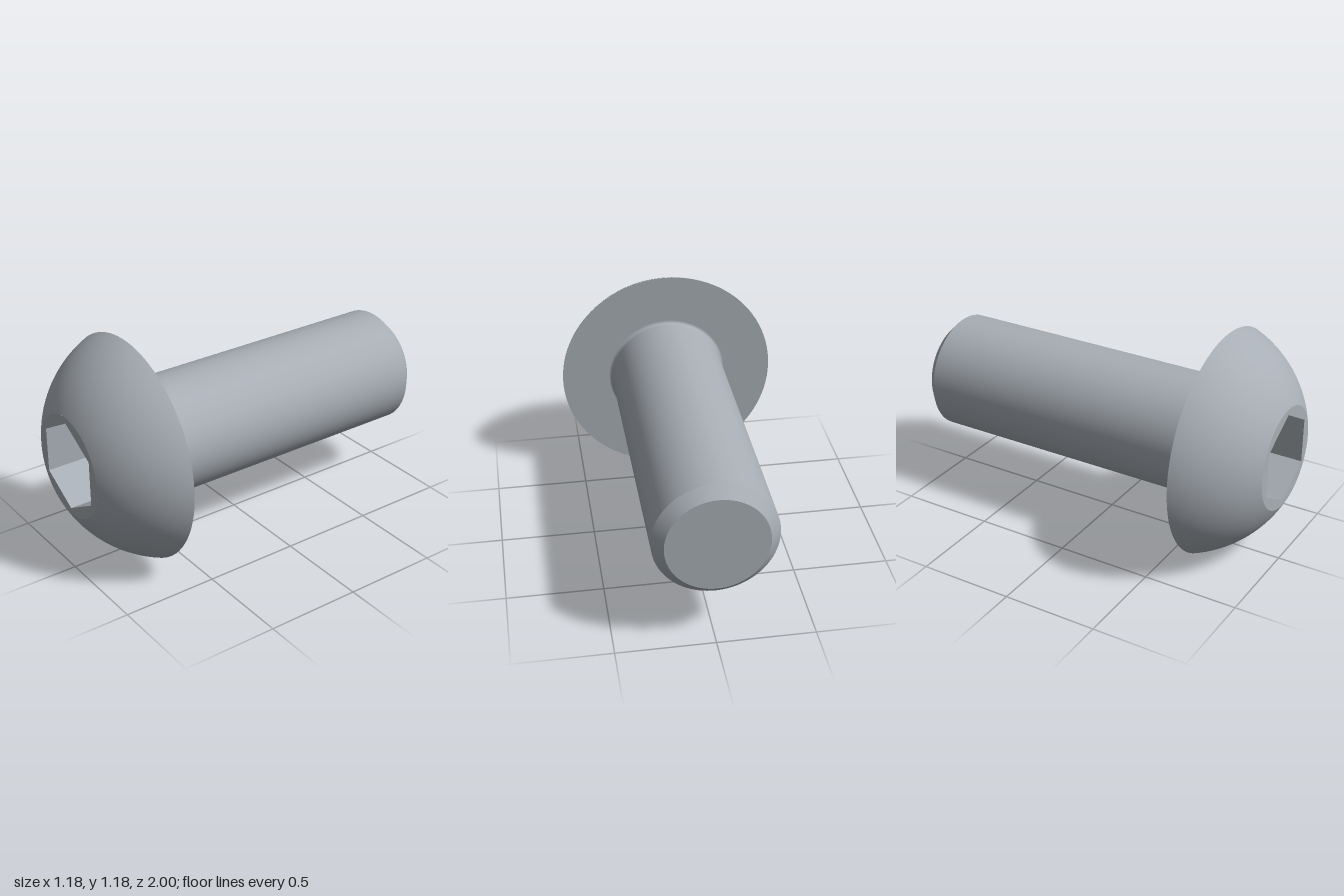
import * as THREE from 'three';

const SEG = 96;
const HEX_R = 0.239, SOCKET_FLOOR = 0.785, DRILL_R = 0.206;

export function createModel() {
  const steel = new THREE.MeshStandardMaterial({ color: 0xa8aeb5 });
  steel.name = 'steel grey';

  // The screw axis runs along z at mid height
  const screw = new THREE.Group();
  screw.name = 'buttonHeadScrew';
  screw.position.y = 0.59;

  const add = (name, geometry) => {
    const mesh = new THREE.Mesh(geometry, steel);
    mesh.name = name;
    screw.add(mesh);
    return mesh;
  };
  // Profile of [radius, z] pairs turned about the z axis
  const turned = (name, profile) => add(name, new THREE.LatheGeometry(
    profile.map(([r, z]) => new THREE.Vector2(r, z)), SEG).rotateX(Math.PI / 2));
  // Points of an arc in the (radius, z) plane
  const arc = (cr, cz, r, a0, a1, n) => Array.from({ length: n + 1 }, (_, i) => {
    const a = a0 + (a1 - a0) * i / n;
    return [cr + r * Math.cos(a), cz + r * Math.sin(a)];
  });

  // Shank, each section separate so its edges stay sharp
  turned('shankEnd', [[0, -1], [0.255, -1]]);
  turned('endChamfer', [[0.255, -1], [0.31, -0.945]]);
  turned('shank', [[0.31, -0.945], [0.31, 0.64]]);
  turned('neckFillet', arc(0.328, 0.64, 0.018, Math.PI, Math.PI / 2, 8));

  // Domed head, a spherical zone centred on the axis
  const centreZ = 0.4255;
  turned('headUnderside', [[0.328, 0.658], [0.59, 0.658]]);
  turned('headDome', arc(0, centreZ, 0.6347,
    Math.atan2(0.658 - centreZ, 0.59), Math.atan2(1 - centreZ, 0.27), 32));

  // Flat front ring with a hexagonal opening
  const hexPoints = Array.from({ length: 6 }, (_, i) => {
    const a = Math.PI / 2 + i * Math.PI / 3;
    return new THREE.Vector2(HEX_R * Math.cos(a), HEX_R * Math.sin(a));
  });
  const face = new THREE.Shape().absarc(0, 0, 0.27, 0, Math.PI * 2, false);
  face.holes.push(new THREE.Path(hexPoints));
  add('headFace', new THREE.ShapeGeometry(face, SEG / 2)).position.z = 1;

  // Socket walls: open hexagonal prism turned inside out
  const depth = 1 - SOCKET_FLOOR;
  const walls = new THREE.CylinderGeometry(HEX_R, HEX_R, depth, 6, 1, true)
    .toNonIndexed().rotateX(Math.PI / 2).scale(-1, 1, 1);
  walls.computeVertexNormals();
  add('socketWalls', walls).position.z = 1 - depth / 2;

  // Socket floor corners around the conical drill point
  const floor = new THREE.Shape(hexPoints);
  floor.holes.push(new THREE.Path().absarc(0, 0, DRILL_R, 0, Math.PI * 2, true));
  add('socketFloor', new THREE.ShapeGeometry(floor, SEG / 2)).position.z = SOCKET_FLOOR;
  turned('drillPoint', [[DRILL_R, SOCKET_FLOOR], [0, SOCKET_FLOOR - 0.119]]);

  const model = new THREE.Group();
  model.name = 'screwModel';
  model.add(screw);
  return model;
}
